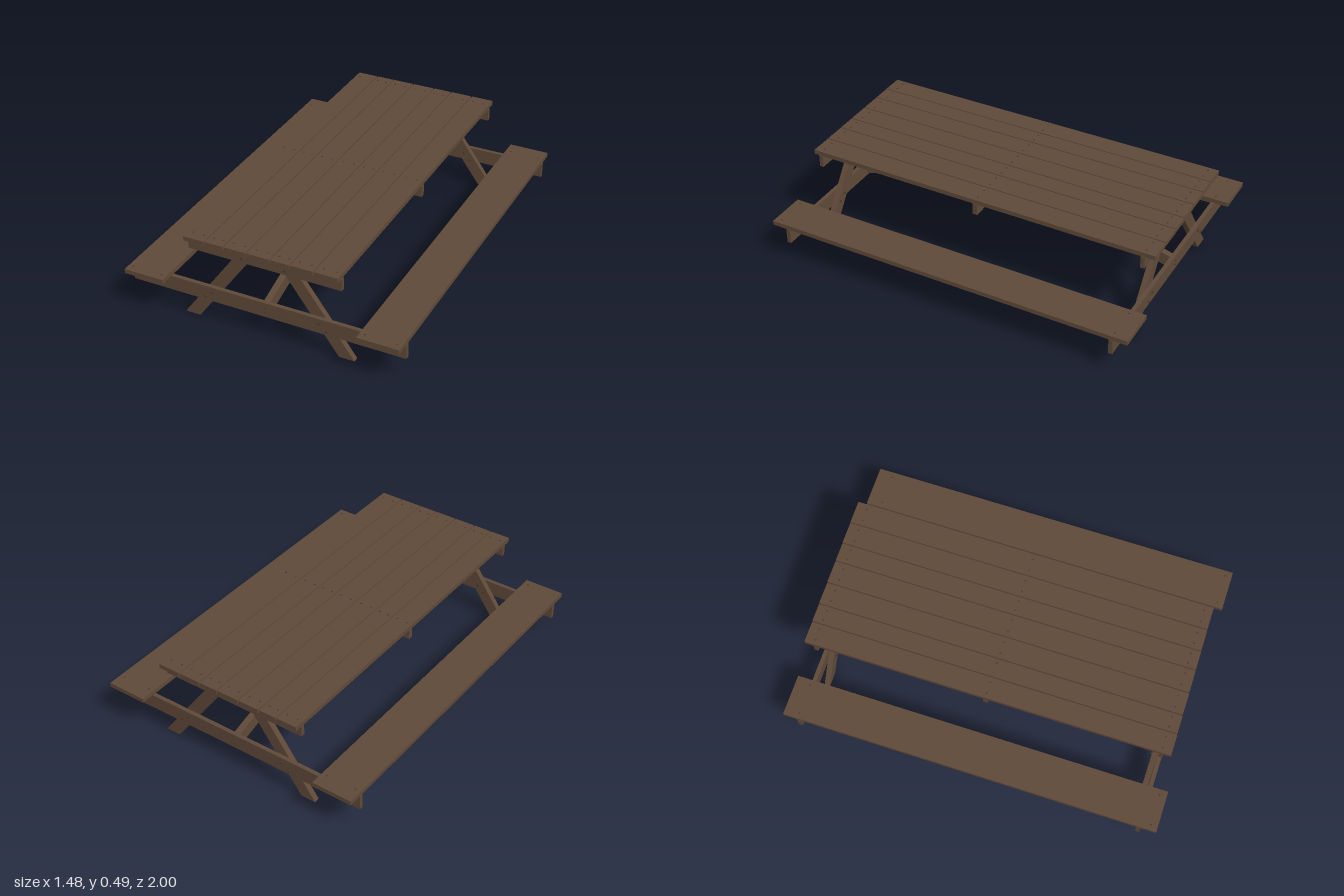
import * as THREE from 'three';

export function createModel() {
  const model = new THREE.Group();
  model.name = 'picnicTable';
  const wood = new THREE.MeshStandardMaterial({ name: 'brown wood', color: 0x5f4938 });
  const boltMat = new THREE.MeshStandardMaterial({ name: 'dark bolt', color: 0x4c3a2d });

  const add = (name, geometry, material = wood) => {
    const mesh = new THREE.Mesh(geometry, material);
    mesh.name = name;
    model.add(mesh);
    return mesh;
  };
  // Board given by its min and max on each axis
  const board = (name, x0, x1, y0, y1, z0, z1) => {
    const mesh = add(name, new THREE.BoxGeometry(x1 - x0, y1 - y0, z1 - z0));
    mesh.position.set((x0 + x1) / 2, (y0 + y1) / 2, (z0 + z1) / 2);
    return mesh;
  };
  // Board with a four-cornered outline in XY, extruded along z
  const slanted = (name, points, depth) => {
    const shape = new THREE.Shape(points.map(([x, y]) => new THREE.Vector2(x, y)));
    const geo = new THREE.ExtrudeGeometry(shape, { depth, bevelEnabled: false });
    geo.translate(0, 0, -depth / 2);
    return add(name, geo);
  };

  // Table top planks, slightly uneven at the ends
  const seams = [-0.415, -0.297, -0.195, -0.073, 0.053, 0.158, 0.28, 0.408];
  for (let i = 0; i < 7; i++) {
    board('topPlank', seams[i] + 0.003, seams[i + 1] - 0.003, 0.466, 0.49,
      -0.97 - i * 0.0013, 0.956 - i * 0.001);
    // Screw heads over the three cross members
    for (const z of [-0.92, -0.008, 0.905]) {
      for (const t of [0.25, 0.75]) {
        const screw = add('topScrew', new THREE.CylinderGeometry(0.005, 0.005, 0.004, 8), boltMat);
        screw.position.set(THREE.MathUtils.lerp(seams[i], seams[i + 1], t), 0.49, z);
      }
    }
  }

  // Benches with a long stiffener below
  for (const s of [-1, 1]) {
    const c = s * 0.63;
    board('benchSeat', c - 0.109, c + 0.109, 0.206, 0.23, -1, 1);
    board('benchStiffener', c - 0.013, c + 0.013, 0.13, 0.206, -0.91, 0.895);
    for (const z of [-0.922, 0.963]) {
      for (const dx of [-0.08, 0.08]) {
        const screw = add('benchScrew', new THREE.CylinderGeometry(0.005, 0.005, 0.004, 8), boltMat);
        screw.position.set(c + dx, 0.23, z);
      }
    }
  }

  // Cross member under the middle of the top
  board('centreCrossbar', -0.408, 0.408, 0.405, 0.466, -0.021, 0.005);

  // End frames: crossbars, splayed legs, bolts and the diagonal brace
  for (const s of [-1, 1]) {
    const legZ = s > 0 ? 0.882 : -0.89;
    const barZ = legZ + s * 0.026;
    board('topCrossbar', -0.41, 0.41, 0.403, 0.466, barZ - 0.011, barZ + 0.011);
    board('benchCrossbar', -0.74, 0.74, 0.125, 0.205, barZ - 0.011, barZ + 0.011);

    for (const m of [-1, 1]) {
      const outline = [[0.383, 0], [0.465, 0], [0.127, 0.466], [0.045, 0.466]]
        .map(([x, y]) => [m * x, y]);
      slanted('leg', outline, 0.03).position.z = legZ;
    }

    const bolts = [[0.63, 0.155], [0.63, 0.18], [0.29, 0.18], [0.33, 0.147],
      [0.08, 0.45], [0.115, 0.428]];
    for (const m of [-1, 1]) {
      bolts.forEach(([x, y], i) => {
        const bolt = add('bolt', new THREE.CylinderGeometry(0.007, 0.007, 0.008, 10), boltMat);
        bolt.rotation.x = Math.PI / 2;
        bolt.position.set(m * x, y, barZ + s * 0.013);
        if (i < 2) return;
        const nut = add('nut', new THREE.CylinderGeometry(0.007, 0.007, 0.008, 6), boltMat);
        nut.rotation.x = Math.PI / 2;
        nut.position.set(m * x, y, legZ - s * 0.018);
      });
    }
    for (const y of [0.155, 0.18]) {
      const bolt = add('braceBolt', new THREE.CylinderGeometry(0.005, 0.005, 0.006, 10), boltMat);
      bolt.rotation.x = Math.PI / 2;
      bolt.position.set(0, y, barZ + s * 0.012);
    }

    // Diagonal brace from the middle crossbar down to the bench crossbar
    const end = Math.abs(barZ) - 0.011;
    const brace = slanted('diagonalBrace',
      [[0.005, 0.403], [end, 0.133], [end, 0.201], [0.025, 0.466], [0.005, 0.466]], 0.034);
    brace.rotation.y = -s * Math.PI / 2;
  }
  return model;
}
